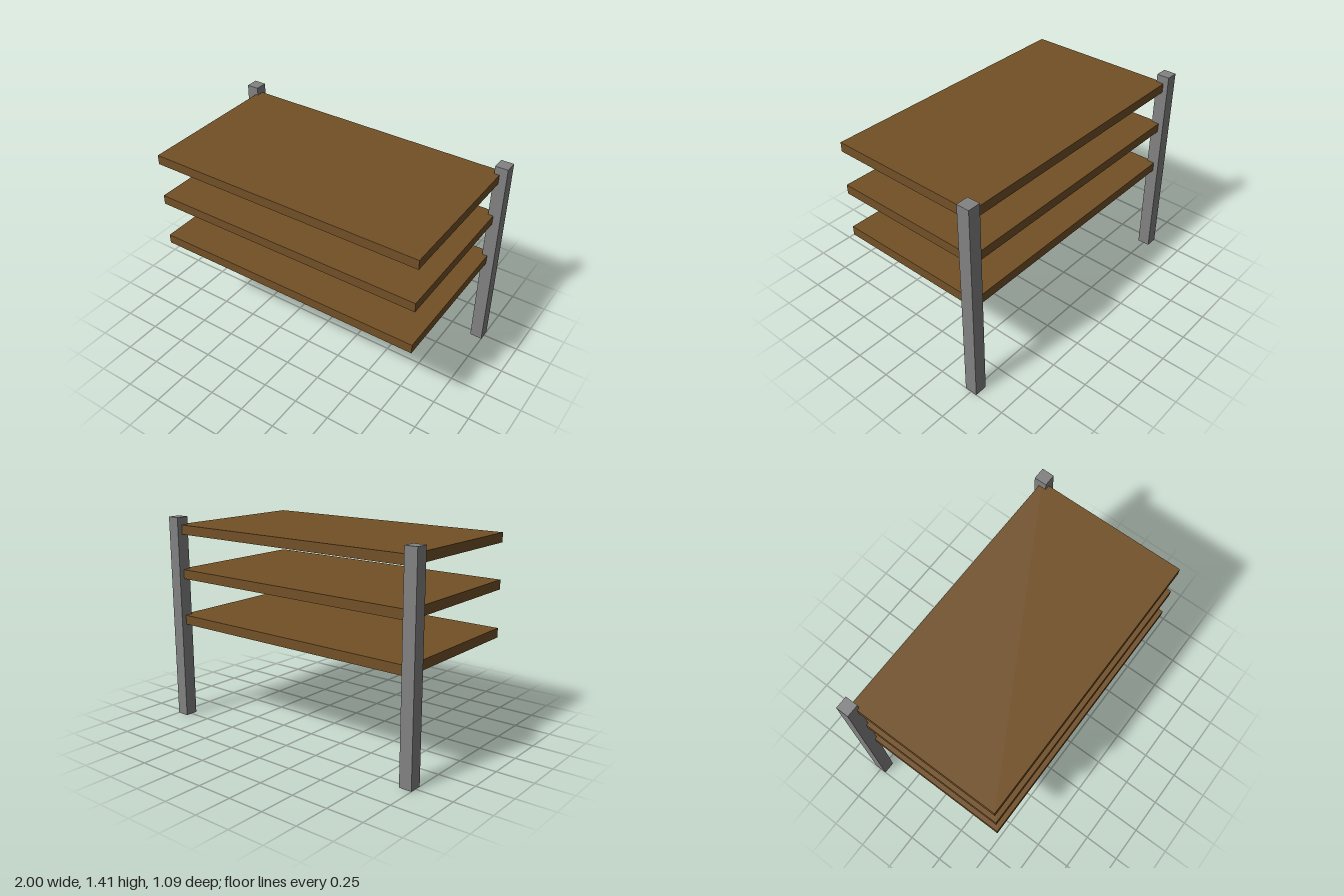
import * as THREE from 'three';

export function createModel() {
  const group = new THREE.Group();
  const metal = new THREE.MeshStandardMaterial({ color: 0x828282 });
  const wood = new THREE.MeshStandardMaterial({ color: 0x725026 });

  // Box given by its minimum and maximum corners
  function addBox(name, min, max, material) {
    const size = max.map((v, i) => v - min[i]);
    const mesh = new THREE.Mesh(new THREE.BoxGeometry(...size), material);
    mesh.position.set(...min.map((v, i) => (v + max[i]) / 2));
    mesh.name = name;
    group.add(mesh);
  }

  // Two square posts at the back corners
  addBox('leftPost', [0.915, 0, -0.543], [1, 1.41, -0.456], metal);
  addBox('rightPost', [-1, 0, -0.543], [-0.915, 1.41, -0.456], metal);

  // Three shelves, their back corners let into the posts
  [['lowerShelf', 0.665], ['middleShelf', 0.987], ['upperShelf', 1.293]].forEach(([name, y]) => {
    addBox(name, [-0.933, y, -0.508], [0.95, y + 0.064, 0.543], wood);
  });

  return group;
}
